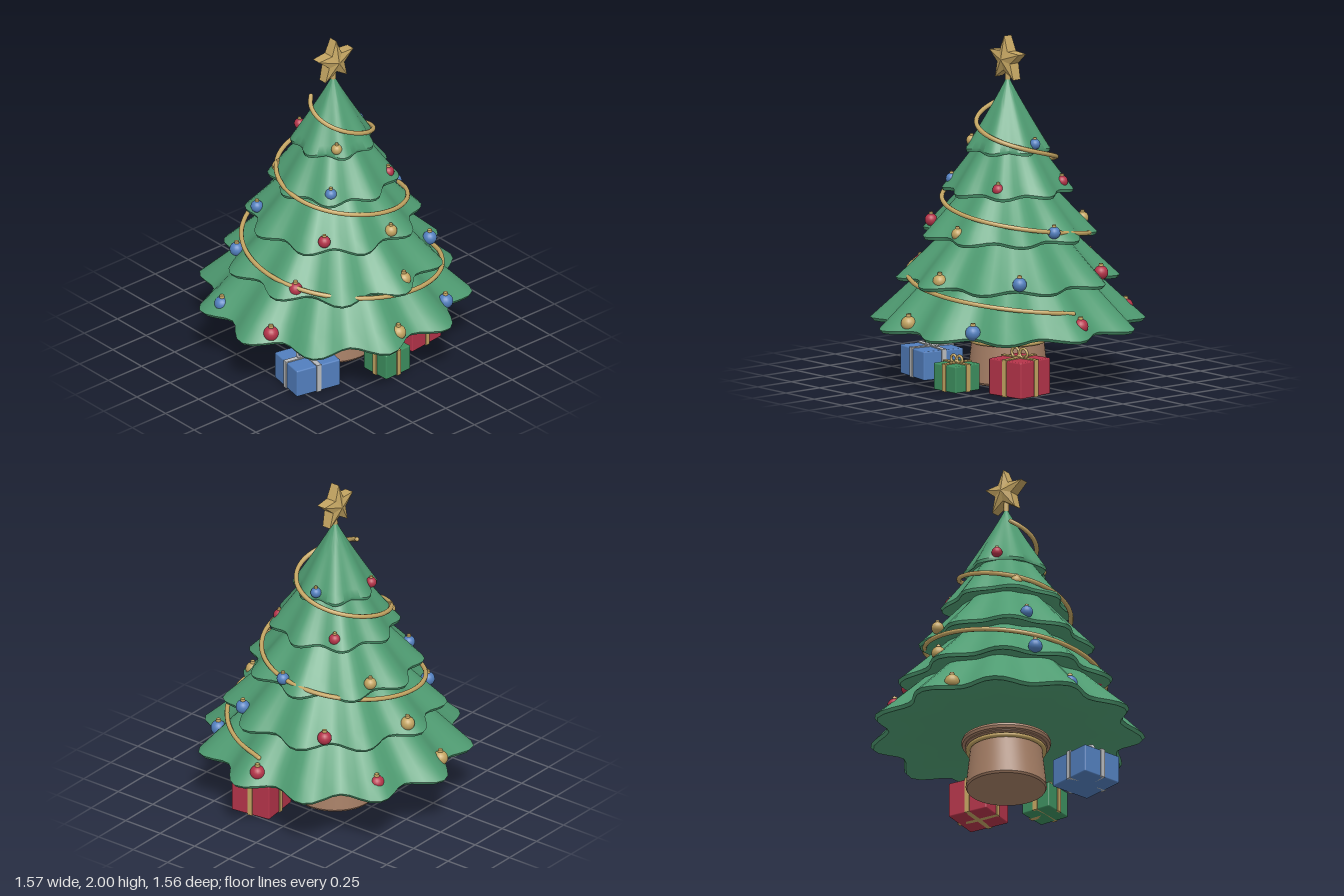
import * as THREE from 'three';
import { toCreasedNormals } from 'three/addons/utils/BufferGeometryUtils.js';
import { RoundedBoxGeometry } from 'three/addons/geometries/RoundedBoxGeometry.js';

const mat = (name, color) => new THREE.MeshStandardMaterial({ name, color });
const AXIS_Z = 0.016; // the tree stands slightly forward of the origin

function add(parent, name, geometry, material, x = 0, y = 0, z = 0) {
  const mesh = new THREE.Mesh(geometry, material);
  mesh.name = name;
  mesh.position.set(x, y, z);
  parent.add(mesh);
  return mesh;
}

// One skirt of branches: a flaring cone whose lobes deepen toward the rim
function tierGeometry(radius, bottom, top, lobes) {
  const rows = [];
  for (let j = 0; j <= 9; j++) {
    const s = 0.01 + 0.99 * j / 9;
    rows.push({ r: radius * s ** 1.1, y: top + (bottom + 0.018 - top) * s, wave: s });
  }
  rows.push({ r: radius * 0.98, y: bottom, wave: 1 });            // rim lip
  rows.push({ r: radius * 0.93, y: bottom + 0.012, wave: 1 });    // underside
  rows.push({ r: radius * 0.5, y: bottom + 0.04, wave: 0.6 });
  rows.push({ r: 0.03, y: bottom + 0.06, wave: 0 });
  const n = lobes * 8, pos = [], idx = [];
  rows.forEach(({ r, y, wave }, j) => {
    for (let i = 0; i < n; i++) {
      const a = i / n * Math.PI * 2;
      const dip = (1 - Math.cos(lobes * (a - Math.PI))) / 2; // 0 on a lobe, 1 in a valley
      const rr = r * (1 - 0.14 * dip * wave);
      pos.push(rr * Math.sin(a), y + 0.014 * dip * wave ** 4, rr * Math.cos(a));
      if (j < rows.length - 1) {
        const k = (i + 1) % n, p = j * n, q = p + n;
        idx.push(p + i, q + i, q + k, p + i, q + k, p + k);
      }
    }
  });
  const g = new THREE.BufferGeometry();
  g.setAttribute('position', new THREE.Float32BufferAttribute(pos, 3));
  g.setIndex(idx);
  return toCreasedNormals(g, 0.75);
}

// Five-pointed star, faceted and swollen in the middle
function starGeometry(outer, inner, tipHalf, midHalf) {
  const pos = [], rim = [];
  for (let i = 0; i < 10; i++) {
    const a = Math.PI / 2 + i * Math.PI / 5, r = i % 2 ? inner : outer;
    rim.push([r * Math.cos(a), r * Math.sin(a), i % 2 ? tipHalf * 1.2 : tipHalf]);
  }
  for (let i = 0; i < 10; i++) {
    const [ax, ay, az] = rim[i], [bx, by, bz] = rim[(i + 1) % 10];
    pos.push(0, 0, midHalf, ax, ay, az, bx, by, bz);
    pos.push(0, 0, -midHalf, bx, by, -bz, ax, ay, -az);
    pos.push(ax, ay, az, ax, ay, -az, bx, by, -bz, ax, ay, az, bx, by, -bz, bx, by, bz);
  }
  const g = new THREE.BufferGeometry();
  g.setAttribute('position', new THREE.Float32BufferAttribute(pos, 3));
  g.computeVertexNormals();
  return g;
}

// Wrapped box with crossed ribbons and a two-loop bow
function gift(name, w, h, d, wrap, ribbon, x, z, turn) {
  const g = new THREE.Group();
  g.name = name;
  add(g, 'giftBox', new RoundedBoxGeometry(w, h, d, 2, 0.008), wrap, 0, h / 2, 0);
  const band = 0.03, t = 0.012;
  add(g, 'ribbonFrontToBack', new THREE.BoxGeometry(band, h + t / 2, d + t), ribbon, 0, h / 2 + t / 4, 0);
  add(g, 'ribbonSideToSide', new THREE.BoxGeometry(w + t, h + t / 2, band), ribbon, 0, h / 2 + t / 4, 0);
  const loop = 0.11 * w + 0.001;
  for (const s of [-1, 1]) {
    add(g, 'bowLoop', new THREE.TorusGeometry(loop, 0.008, 8, 20), ribbon, s * (loop + 0.003), h + loop, 0);
  }
  add(g, 'bowKnot', new THREE.SphereGeometry(0.013, 10, 8), ribbon, 0, h + 0.012, 0);
  g.position.set(x, 0, z);
  g.rotation.y = turn;
  return g;
}

export function createModel() {
  const root = new THREE.Group();
  root.name = 'decoratedTree';
  const green = mat('branch green', 0x4f9c72);
  const gold = mat('gold', 0xc4a562);
  const red = mat('red', 0xb5344a);
  const blue = mat('blue', 0x527fbe);
  const brown = mat('pot brown', 0xa57e65);
  const silver = mat('silver', 0xb8babd);
  const wrapGreen = mat('wrapping green', 0x3d8f5f);

  const tree = new THREE.Group();
  tree.name = 'tree';
  tree.position.z = AXIS_Z;
  root.add(tree);

  // Pot, rim, band and trunk
  const profile = [[0, 0], [0.225, 0], [0.232, 0.012], [0.205, 0.255], [0.235, 0.262], [0.235, 0.268],
    [0.252, 0.272], [0.257, 0.288], [0.252, 0.303], [0.235, 0.308], [0.2, 0.308], [0.19, 0.295], [0, 0.295]];
  const pot = new THREE.LatheGeometry(profile.map(([x, y]) => new THREE.Vector2(x, y)), 48);
  add(tree, 'pot', toCreasedNormals(pot, 0.6), brown);
  add(tree, 'potBand', new THREE.TorusGeometry(0.219, 0.013, 10, 48).rotateX(Math.PI / 2), gold, 0, 0.242, 0);
  add(tree, 'trunk', new THREE.CylinderGeometry(0.06, 0.063, 0.2, 20), brown, 0, 0.38, 0);

  // Branch tiers: radius, rim height, apex height, lobes
  [[0.795, 0.328, 1.15, 11], [0.642, 0.588, 1.26, 10], [0.512, 0.845, 1.44, 9],
    [0.378, 1.098, 1.64, 8], [0.247, 1.335, 1.775, 7]].forEach((t, i) =>
    add(tree, 'branchTier' + (i + 1), tierGeometry(...t), green));

  // Star on a short stem
  add(tree, 'star', starGeometry(0.137, 0.06, 0.027, 0.054), gold, 0, 1.863, 0);
  add(tree, 'starStem', new THREE.CylinderGeometry(0.014, 0.016, 0.09, 12), gold, 0, 1.79, 0);

  // Garland spiralling down, measured in quarter turns from the -x side
  const path = [];
  for (let q = -0.45; q <= 10.01; q += 0.2) {
    const a = -Math.PI / 2 + q * Math.PI / 2, r = 0.15 + 0.0495 * q;
    path.push(new THREE.Vector3(r * Math.sin(a), 1.58 - 0.1105 * q, r * Math.cos(a)));
  }
  const curve = new THREE.CatmullRomCurve3(path);
  add(tree, 'garland', new THREE.TubeGeometry(curve, 260, 0.0135, 8), gold);
  for (const end of [path[0], path[path.length - 1]]) {
    add(tree, 'garlandEnd', new THREE.SphereGeometry(0.0135, 8, 6), gold, end.x, end.y, end.z);
  }

  // Baubles per tier: size, then colour, x, y, z
  const baubles = [
    [0.044, [[blue, 0.36, 0.39, 0.58], [gold, -0.085, 0.395, 0.685], [red, -0.645, 0.395, 0.22],
      [red, 0.68, 0.41, 0.045], [red, 0.355, 0.41, -0.565], [gold, -0.125, 0.395, -0.65], [blue, -0.64, 0.4, -0.215]]],
    [0.041, [[gold, 0.055, 0.645, 0.57], [blue, 0.465, 0.655, 0.32], [red, -0.49, 0.645, 0.255],
      [gold, 0.05, 0.66, -0.55], [red, 0.475, 0.655, -0.28], [blue, -0.455, 0.655, -0.3]]],
    [0.036, [[gold, 0.065, 0.905, 0.445], [red, -0.325, 0.92, 0.315], [blue, 0.445, 0.92, -0.045 + 0.09],
      [gold, 0.185, 0.92, -0.385], [blue, -0.35, 0.92, -0.245]]],
    [0.034, [[red, 0.205, 1.16, 0.26], [blue, -0.22, 1.165, 0.25], [red, 0.25, 1.165, -0.178], [gold, -0.235, 1.165, -0.195]]],
    [0.031, [[gold, -0.12, 1.395, 0.185], [blue, 0.21, 1.395, -0.01], [red, -0.085, 1.395, -0.18]]],
  ];
  for (const [size, list] of baubles) {
    for (const [material, x, y, z] of list) {
      const g = new THREE.Group();
      g.name = 'bauble';
      g.position.set(x, y, z);
      add(g, 'baubleBall', new THREE.SphereGeometry(size, 18, 14), material);
      add(g, 'baubleCap', new THREE.CylinderGeometry(size * 0.3, size * 0.36, size * 0.4, 10), gold, 0, size * 1.08, 0);
      root.add(g);
    }
  }

  // Gifts around the pot
  root.add(gift('blueGift', 0.285, 0.168, 0.26, blue, silver, -0.395, 0.25, -0.2));
  root.add(gift('greenGift', 0.19, 0.155, 0.19, wrapGreen, gold, 0.045, 0.435, 0.04));
  root.add(gift('redGift', 0.25, 0.21, 0.25, red, gold, 0.382, 0.25, 0.13));
  return root;
}
